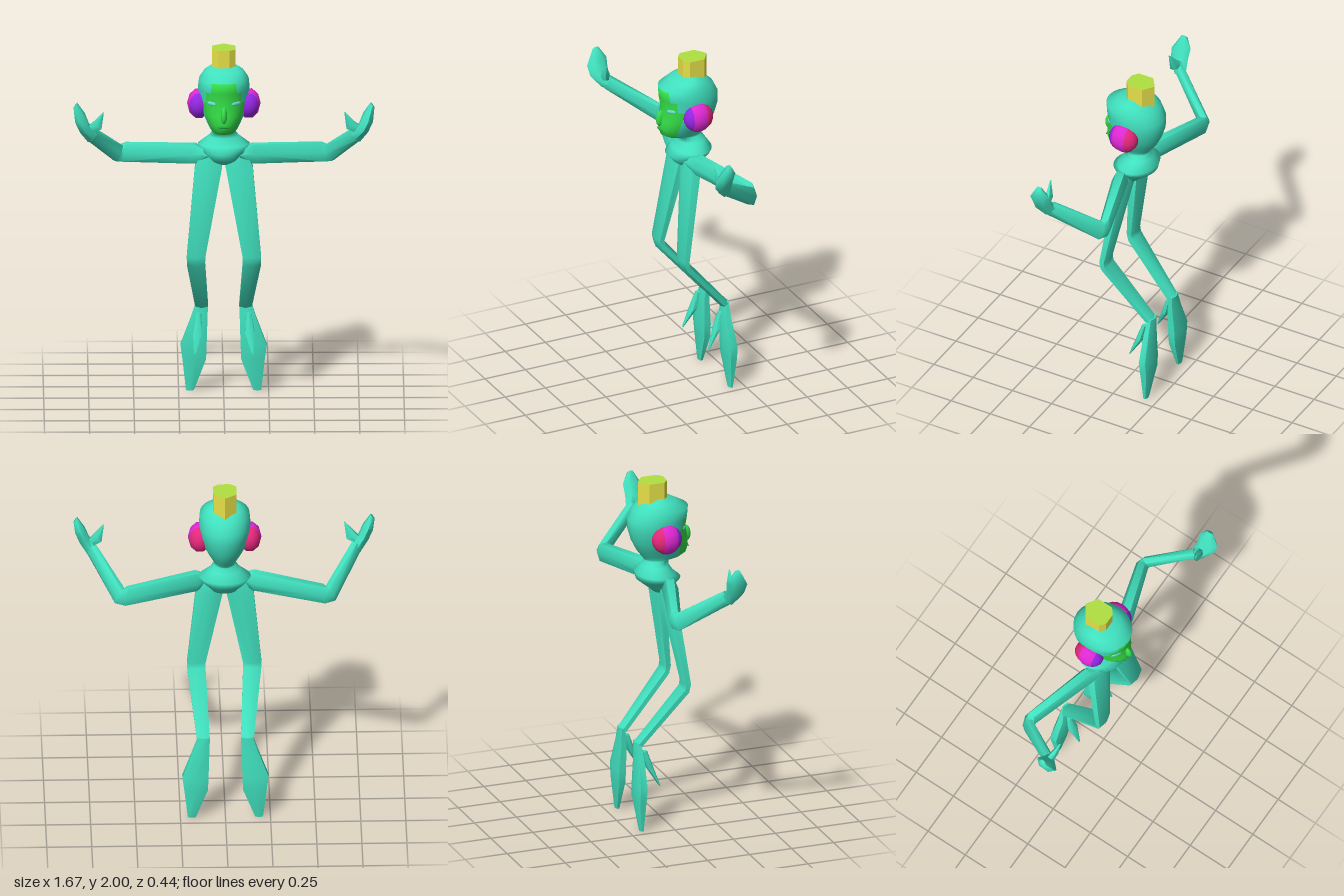
import * as THREE from 'three';
import { toCreasedNormals } from 'three/addons/utils/BufferGeometryUtils.js';

const mat = (name, color) => new THREE.MeshStandardMaterial({ name, color });

// Joins rings of points into a closed skin; pick(ringIndex, angle) gives each band face a group.
function loft(rings, groupCount = 1, pick = () => 0) {
  const n = rings[0].length, pts = rings.flat();
  const lists = Array.from({ length: groupCount }, () => []);
  for (let r = 0; r < rings.length - 1; r++) {
    for (let i = 0; i < n; i++) {
      const j = (i + 1) % n, a = r * n + i, b = r * n + j;
      lists[pick(r, ((i + 0.5) / n) * Math.PI * 2)].push(a, b, b + n, a, b + n, a + n);
    }
  }
  for (const [r, flip] of [[0, true], [rings.length - 1, false]]) {
    const c = new THREE.Vector3();
    rings[r].forEach((p) => c.addScaledVector(p, 1 / n));
    const k = pts.push(c) - 1;
    for (let i = 0; i < n; i++) {
      const a = r * n + i, b = r * n + ((i + 1) % n);
      lists[0].push(...(flip ? [k, b, a] : [k, a, b]));
    }
  }
  // Turn the skin outward if its signed volume is negative
  let volume = 0;
  const index = lists.flat();
  for (let i = 0; i < index.length; i += 3) {
    const [a, b, c] = [pts[index[i]], pts[index[i + 1]], pts[index[i + 2]]];
    volume += a.dot(b.clone().cross(c));
  }
  if (volume < 0) {
    for (let i = 0; i < index.length; i += 3) [index[i], index[i + 1]] = [index[i + 1], index[i]];
  }
  const geo = new THREE.BufferGeometry().setFromPoints(pts);
  geo.setIndex(index);
  let start = 0;
  if (groupCount > 1) {
    lists.forEach((l, g) => { geo.addGroup(start, l.length, g); start += l.length; });
  }
  geo.computeVertexNormals();
  return geo;
}

// Six-sided limb; each section is [centre, first half-axis, second half-axis]
function limb(sections, side) {
  const rings = sections.map(([c, u, v]) => Array.from({ length: 6 }, (_, i) => {
    const a = (i / 6) * Math.PI * 2 + Math.PI / 6, cu = Math.cos(a) / 0.87, sv = Math.sin(a);
    const p = [0, 1, 2].map((k) => c[k] + u[k] * cu + v[k] * sv);
    return new THREE.Vector3(p[0] * side, p[1], p[2]);
  }));
  return toCreasedNormals(loft(rings), 1.1);
}

export function createModel() {
  const model = new THREE.Group();
  const teal = mat('teal skin', 0x40e0be), green = mat('green face', 0x34e048);
  const lip = mat('dark green lips', 0x24a83c), eyeTint = mat('pale aqua eyes', 0x68e0d4);
  const purple = mat('purple', 0x9a28ee), magenta = mat('magenta', 0xe028d4), crimson = mat('crimson', 0xe6287c);
  const yellow = mat('yellow', 0xe6e048), lime = mat('lime', 0xb0e042);

  const add = (name, geo, material, parent = model) => {
    const mesh = new THREE.Mesh(geo, material);
    mesh.name = name;
    parent.add(mesh);
    return mesh;
  };

  // Collar, neck and head: [y, half width, front z, back z]
  const profile = [
    [1.345, 0.065, 0.04, -0.04], [1.37, 0.085, 0.075, -0.07], [1.42, 0.125, 0.12, -0.13], [1.455, 0.145, 0.08, -0.135],
    [1.5, 0.085, 0.05, -0.105], [1.53, 0.062, 0.055, -0.085], [1.54, 0.066, 0.125, -0.09], [1.56, 0.078, 0.158, -0.105],
    [1.6, 0.098, 0.168, -0.135], [1.65, 0.122, 0.164, -0.16], [1.72, 0.137, 0.15, -0.18], [1.78, 0.144, 0.16, -0.18],
    [1.84, 0.138, 0.165, -0.15], [1.88, 0.11, 0.09, -0.105], [1.905, 0.075, 0.025, -0.05],
  ];
  const headRings = profile.map(([y, w, f, b]) => Array.from({ length: 24 }, (_, i) => {
    const a = (i / 24) * Math.PI * 2;
    return new THREE.Vector3(w * Math.sin(a), y, (f + b) / 2 + ((f - b) / 2) * Math.cos(a));
  }));
  const faceLimit = { 6: 1.05, 7: 1.05, 8: 1.05, 9: 1.05, 10: 0.79, 11: 0.6 };
  const onFace = (r, a) => (r in faceLimit && Math.cos(a) > Math.cos(faceLimit[r]) ? 1 : 0);
  add('headAndCollar', loft(headRings, 2, onFace), [teal, green]);

  // Nose and lips
  const nose = add('nose', new THREE.SphereGeometry(1, 10, 8), green);
  nose.scale.set(0.017, 0.048, 0.026);
  nose.position.set(0, 1.66, 0.162);
  nose.rotation.x = -0.12;
  const lips = add('lips', new THREE.SphereGeometry(1, 10, 6), lip);
  lips.scale.set(0.034, 0.008, 0.006);
  lips.position.set(0, 1.592, 0.165);

  // Tall tube on the crown, narrow toward the back
  const crown = new THREE.Shape([
    [0, 0.125], [-0.065, 0.08], [-0.065, -0.01], [-0.032, -0.037], [0.032, -0.037], [0.065, -0.01], [0.065, 0.08],
  ].map(([x, y]) => new THREE.Vector2(x, y)));
  const tube = new THREE.ExtrudeGeometry(crown, { depth: 0.16, bevelEnabled: false });
  tube.rotateX(-Math.PI / 2);
  tube.translate(0, 1.84, 0);
  add('crownTube', tube, [lime, yellow]);

  for (const s of [1, -1]) {
    const half = new THREE.Group();
    half.name = s > 0 ? 'leftSide' : 'rightSide';
    model.add(half);

    // Eye
    const eye = add('eye', new THREE.SphereGeometry(1, 10, 6), eyeTint, half);
    eye.scale.set(0.032, 0.012, 0.006);
    eye.position.set(s * 0.068, 1.72, 0.128);
    eye.rotation.set(0, s * 0.58, s * 0.1);

    // Ear pad in three bands from front to back
    const cuts = [0, 0.31, 0.62, 1].map((t) => t * Math.PI);
    [purple, magenta, crimson].forEach((m, i) => {
      const geo = new THREE.SphereGeometry(1, 10, 3, 0, Math.PI * 2, cuts[i], cuts[i + 1] - cuts[i]);
      geo.rotateX(Math.PI / 2);
      geo.scale(0.066, 0.086, 0.086);
      geo.translate(s * 0.138, 1.69, -0.005);
      add('earPad', geo, m, half);
    });

    // Arm: shoulder, elbow, wrist
    add('arm', limb([
      [[0.09, 1.405, 0.035], [0, 0.02, 0], [0, 0, 0.03]],
      [[0.16, 1.405, 0.005], [0, 0.055, 0], [0.012, 0, 0.045]],
      [[0.55, 1.382, -0.118], [-0.005, 0.053, 0], [0.003, 0, 0.037]],
      [[0.585, 1.378, -0.108], [-0.018, 0.044, -0.008], [-0.018, 0, 0.028]],
      [[0.735, 1.545, 0.125], [-0.012, 0.032, -0.016], [-0.026, 0, 0.017]],
    ], s), teal, half);
    add('hand', limb([
      [[0.73, 1.53, 0.125], [-0.025, 0.02, 0], [0, -0.01, 0.035]],
      [[0.775, 1.59, 0.155], [-0.025, 0.015, 0], [0, -0.01, 0.054]],
      [[0.8, 1.65, 0.157], [-0.027, 0.012, 0], [0, -0.015, 0.06]],
      [[0.825, 1.718, 0.15], [-0.01, 0.014, 0], [0, 0, 0.02]],
    ], s), teal, half);
    add('thumb', limb([
      [[0.75, 1.575, 0.14], [0, 0.025, 0], [0, 0, 0.022]],
      [[0.7, 1.605, 0.15], [0.02, 0.022, 0], [0, 0, 0.02]],
      [[0.67, 1.68, 0.16], [0.003, 0, 0], [0, 0, 0.004]],
    ], s), teal, half);

    // Leg: hip, knee, ankle
    add('leg', limb([
      [[0.08, 1.43, 0.02], [0.04, 0, 0], [0, 0, 0.03]],
      [[0.085, 1.335, 0.02], [0.076, 0, 0], [0, 0, 0.05]],
      [[0.155, 0.835, 0.098], [0.052, 0, 0], [0, 0, 0.028]],
      [[0.155, 0.795, 0.09], [0.051, 0, 0], [0, -0.014, 0.024]],
      [[0.122, 0.49, -0.17], [0.036, 0, 0], [0, -0.014, 0.02]],
    ], s), teal, half);
    add('foot', limb([
      [[0.12, 0.505, -0.176], [0.034, 0, 0], [0, 0, 0.02]],
      [[0.135, 0.42, -0.172], [0.046, 0, 0], [0, 0, 0.03]],
      [[0.167, 0.26, -0.178], [0.073, 0, 0], [0, 0, 0.04]],
      [[0.163, 0.18, -0.18], [0.066, 0, 0], [0, 0, 0.038]],
      [[0.187, 0.0, -0.177], [0.022, 0, 0], [0, 0, 0.013]],
    ], s), teal, half);
    add('toe', limb([
      [[0.138, 0.45, -0.138], [0.014, 0, 0], [0, 0, 0.014]],
      [[0.145, 0.35, -0.112], [0.026, 0, 0], [0, -0.01, 0.026]],
      [[0.16, 0.24, -0.057], [0.005, 0, 0], [0, 0, 0.004]],
    ], s), teal, half);
  }
  return model;
}
